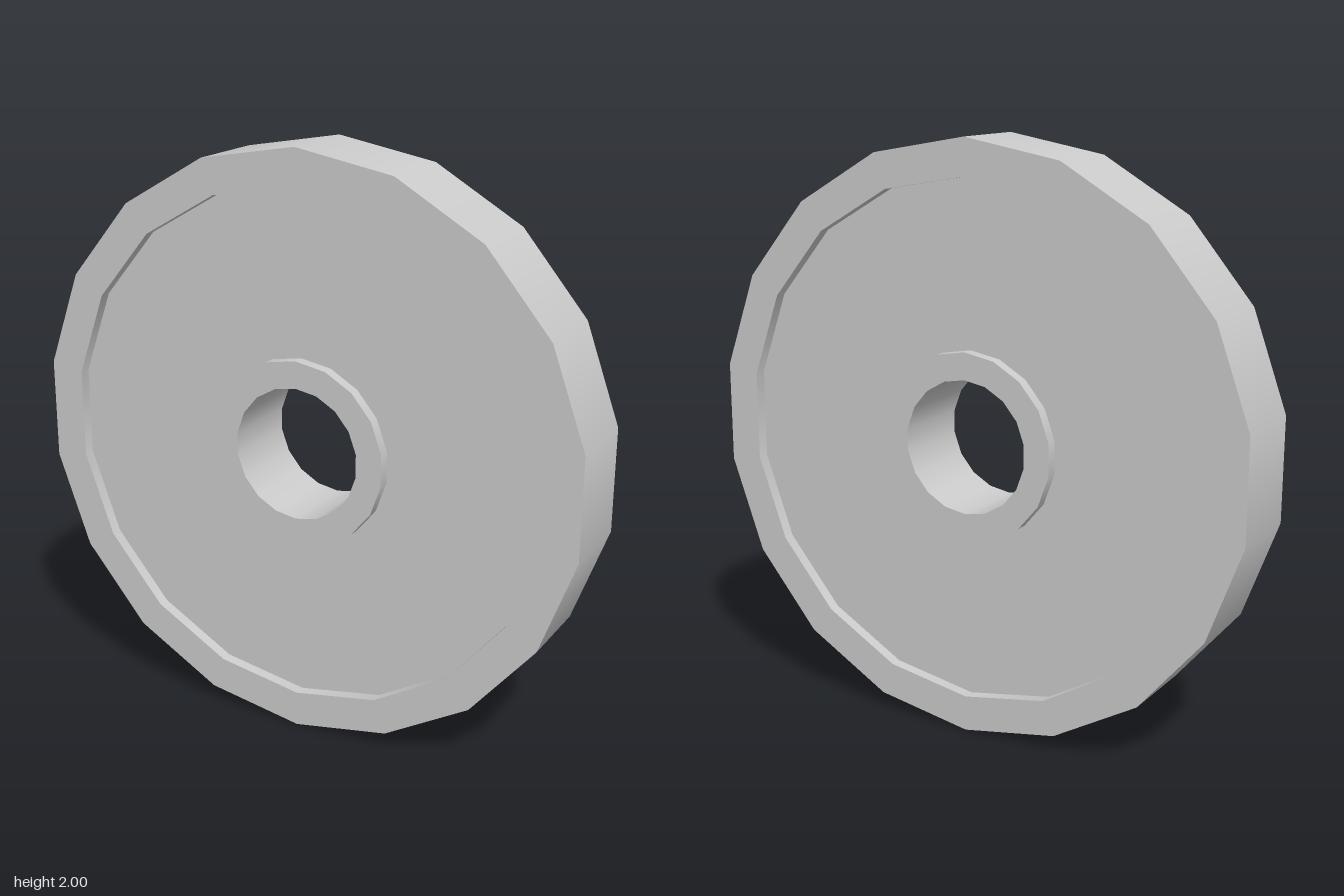
import * as THREE from 'three';
import { mergeGeometries } from 'three/addons/utils/BufferGeometryUtils.js';

const SIDES = 18;
const OUTER = 1, RIM_INNER = 0.877, HUB_OUTER = 0.318, BORE = 0.226;
const FACE = 0.145, WEB = 0.105; // half thicknesses

const material = new THREE.MeshStandardMaterial({ color: 0xcccccc });

// Revolves each [radius, z] edge separately so corners between edges stay sharp
function revolved(name, edges) {
  const bands = edges.map(([a, b]) =>
    new THREE.LatheGeometry([new THREE.Vector2(...a), new THREE.Vector2(...b)], SIDES));
  const geometry = mergeGeometries(bands);
  geometry.rotateX(Math.PI / 2); // axis along z
  const mesh = new THREE.Mesh(geometry, material);
  mesh.name = name;
  mesh.position.y = OUTER;
  return mesh;
}

// Inward-facing wall or outward-facing wall of a recess, front and back
const steps = (r, outward) => outward
  ? [[[r, WEB], [r, FACE]], [[r, -FACE], [r, -WEB]]]
  : [[[r, FACE], [r, WEB]], [[r, -WEB], [r, -FACE]]];

// Flat annular faces, front and back
const faces = (inner, outer, z) => [[[outer, z], [inner, z]], [[inner, -z], [outer, -z]]];

export function createModel() {
  const group = new THREE.Group();
  group.name = 'wheel';

  // Raised outer rim with its tread
  group.add(revolved('rim', [
    [[OUTER, -FACE], [OUTER, FACE]],
    ...faces(RIM_INNER, OUTER, FACE),
    ...steps(RIM_INNER, false),
  ]));

  // Recessed web between rim and hub
  group.add(revolved('web', faces(HUB_OUTER, RIM_INNER, WEB)));

  // Raised hub with a through bore
  group.add(revolved('hub', [
    ...steps(HUB_OUTER, true),
    ...faces(BORE, HUB_OUTER, FACE),
    [[BORE, FACE], [BORE, -FACE]],
  ]));

  return group;
}
